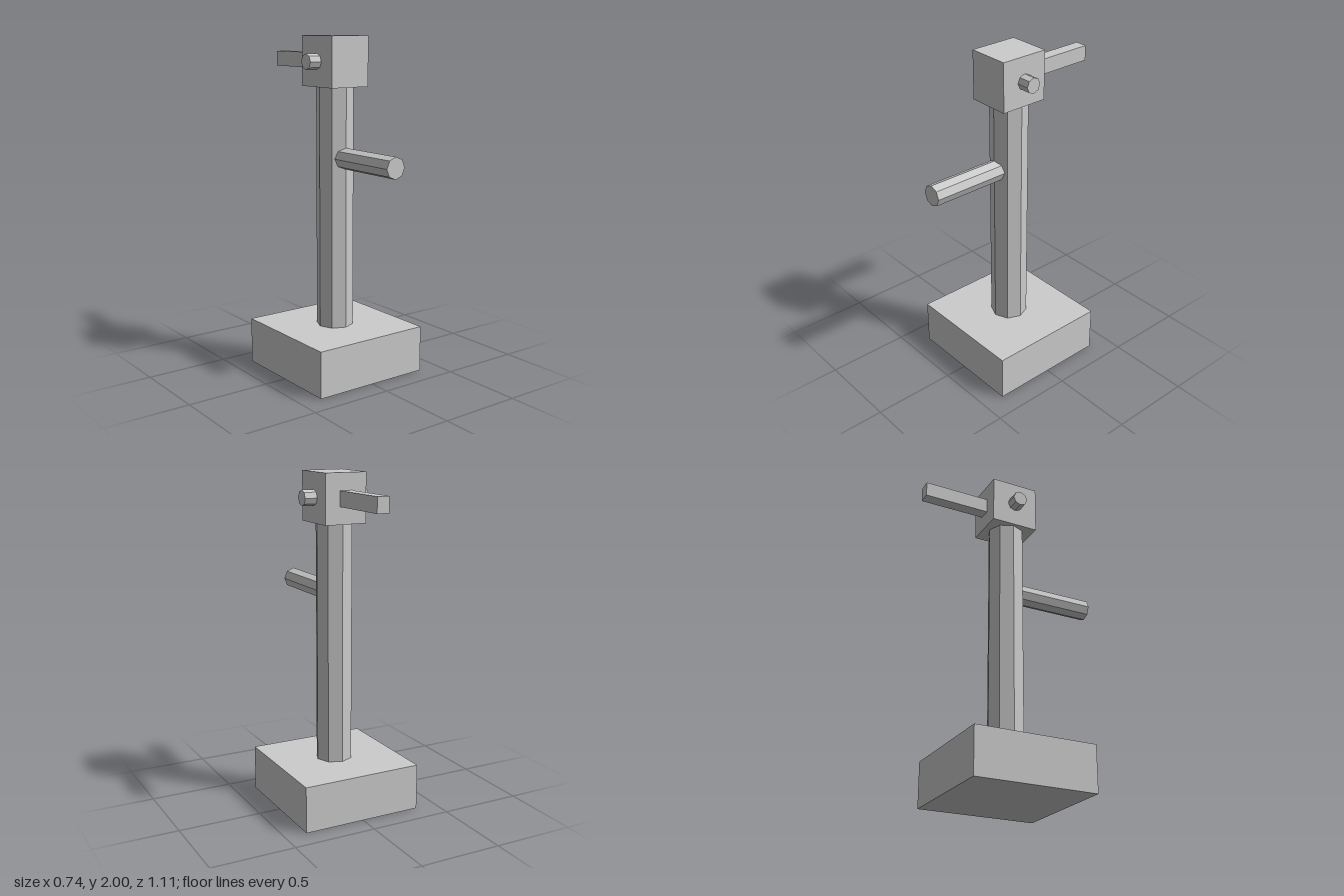
import * as THREE from 'three';

export function createModel() {
  const group = new THREE.Group();
  const material = new THREE.MeshStandardMaterial({ color: 0xcccccc, flatShading: true });

  const add = (name, geometry, x, y, z) => {
    const mesh = new THREE.Mesh(geometry, material);
    mesh.name = name;
    mesh.position.set(x, y, z);
    group.add(mesh);
    return mesh;
  };
  const box = (w, h, d) => new THREE.BoxGeometry(w, h, d);
  const rod = (radius, length) => new THREE.CylinderGeometry(radius, radius, length, 8);

  // Square foot and octagonal column
  add('base', box(0.738, 0.277, 0.738), 0, 0.1385, 0);
  add('column', rod(0.11, 1.433), 0, 0.9935, 0);

  // Head block on top of the column
  add('head', box(0.258, 0.29, 0.294), 0, 1.855, 0);

  // Pivot pin passing through the head from side to side
  add('pivotPin', rod(0.046, 0.408), 0, 1.855, 0).rotation.z = Math.PI / 2;

  // Lever reaching out of the back of the head
  add('lever', box(0.074, 0.09, 0.435), 0, 1.855, -0.3375);

  // Spout reaching out of the front of the column
  add('spout', rod(0.063, 0.495), 0, 1.298, 0.3075).rotation.x = Math.PI / 2;

  return group;
}
